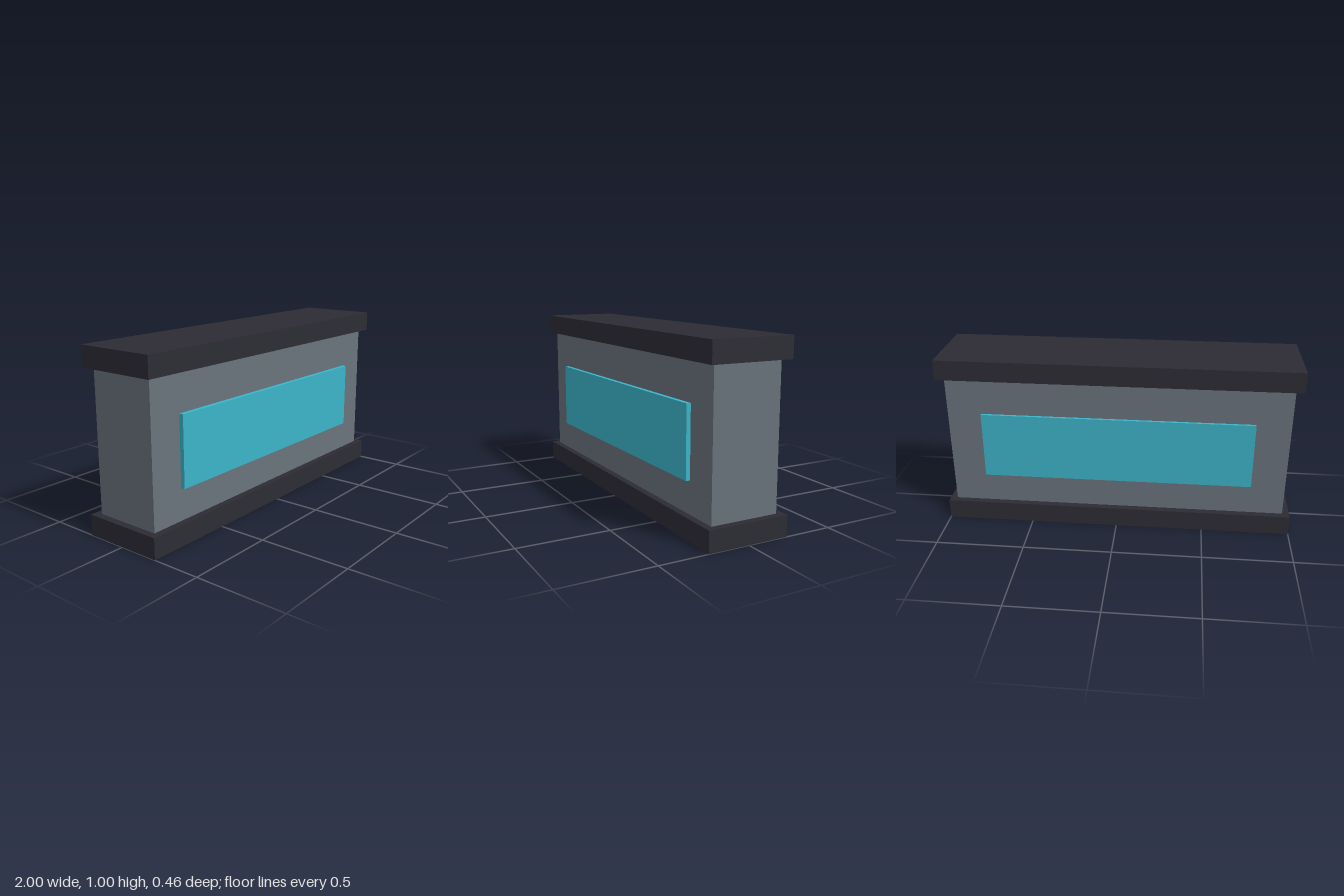
import * as THREE from 'three';

const material = (name, color) => {
  const m = new THREE.MeshStandardMaterial({ color });
  m.name = name;
  return m;
};

export function createModel() {
  const model = new THREE.Group();
  model.name = 'panelBlock';
  const dark = material('charcoal', 0x2d2c35);
  const grey = material('slateGrey', 0x6a737c);
  const cyan = material('cyan', 0x3cb5ca);

  // Box given by its lower and upper corners
  const addBox = (name, mat, min, max) => {
    const size = max.map((v, i) => v - min[i]);
    const mesh = new THREE.Mesh(new THREE.BoxGeometry(...size), mat);
    mesh.position.set(...max.map((v, i) => (v + min[i]) / 2));
    mesh.name = name;
    model.add(mesh);
  };

  // Base and cap slabs
  addBox('baseSlab', dark, [-1, 0, -0.23], [1, 0.115, 0.23]);
  addBox('capSlab', dark, [-1, 0.886, -0.23], [1, 1, 0.23]);

  // Main body between the slabs
  addBox('body', grey, [-0.96, 0.115, -0.192], [0.96, 0.886, 0.192]);

  // Raised panels, the front one slightly thicker
  addBox('frontPanel', cyan, [-0.767, 0.29, 0.192], [0.767, 0.675, 0.216]);
  addBox('backPanel', cyan, [-0.767, 0.29, -0.207], [0.767, 0.675, -0.192]);

  return model;
}
